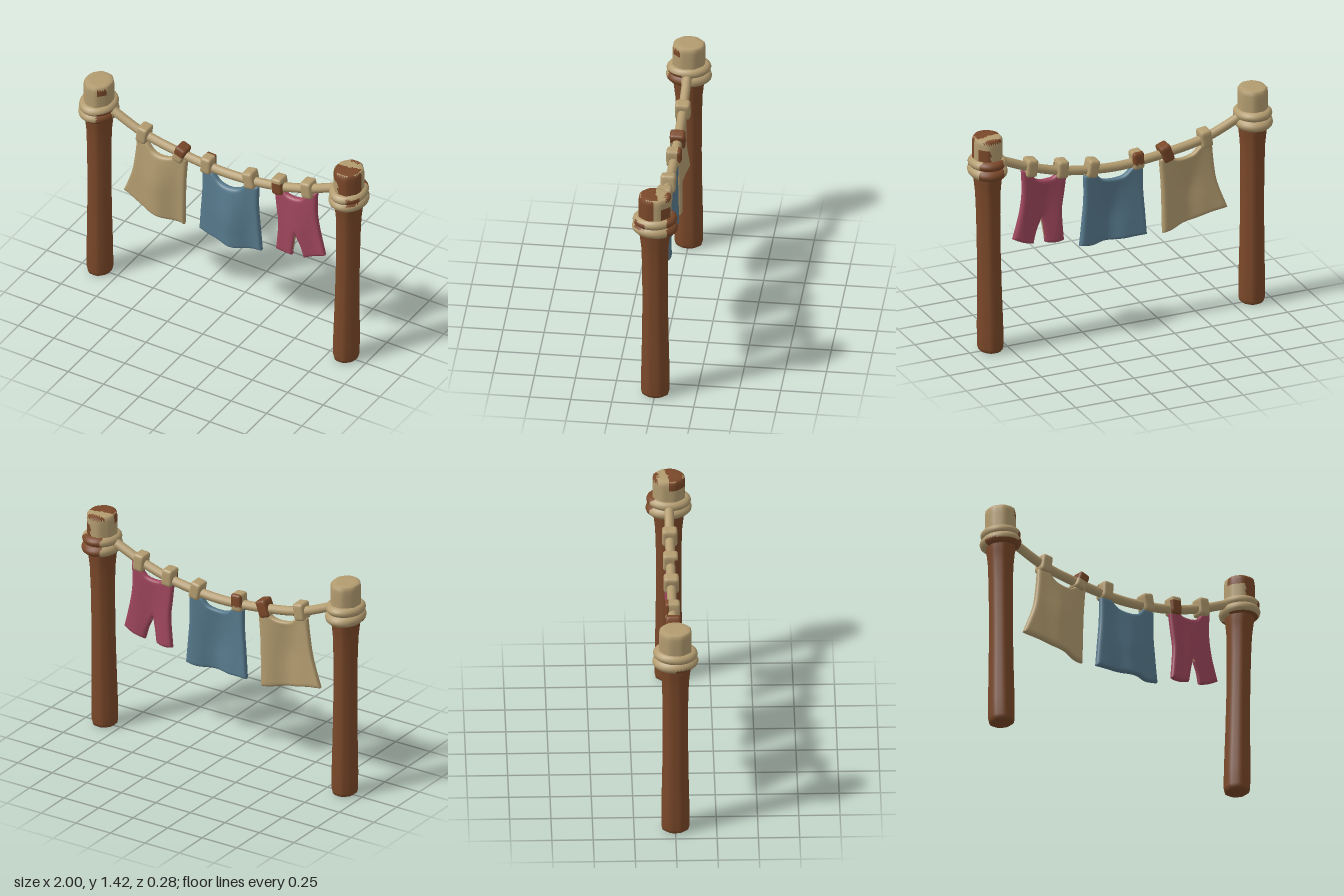
import * as THREE from 'three';
import { mergeGeometries, mergeVertices } from 'three/addons/utils/BufferGeometryUtils.js';

const mat = (name, color) => Object.assign(new THREE.MeshStandardMaterial({ color }), { name });
const V2 = (p) => new THREE.Vector2(p[0], p[1]);
const spline = (pts) => new THREE.SplineCurve(pts.map(V2));

// Weld vertices and give smooth normals
function smooth(geo) {
  geo.deleteAttribute('uv');
  geo.deleteAttribute('normal');
  const g = mergeVertices(geo, 1e-5);
  g.computeVertexNormals();
  return g;
}

// Move every vertex by a rule
function warp(geo, rule) {
  const p = geo.attributes.position, v = new THREE.Vector3();
  for (let i = 0; i < p.count; i++) {
    rule(v.fromBufferAttribute(p, i));
    p.setXYZ(i, v.x, v.y, v.z);
  }
  return geo;
}

// Split triangles into two material groups: group 1 where rule(x, y, z) holds
function paint(geo, rule) {
  const idx = geo.index.array, p = geo.attributes.position, lists = [[], []];
  for (let i = 0; i < idx.length; i += 3) {
    const t = [idx[i], idx[i + 1], idx[i + 2]];
    const mid = (f) => t.reduce((s, k) => s + p[f](k), 0) / 3;
    lists[rule(mid('getX'), mid('getY'), mid('getZ')) ? 1 : 0].push(...t);
  }
  geo.setIndex([...lists[0], ...lists[1]]);
  geo.clearGroups();
  geo.addGroup(0, lists[0].length, 0);
  geo.addGroup(lists[0].length, lists[1].length, 1);
  return geo;
}

// Softly eight-sided turned piece, a little deeper than wide
function turned(profile, zScale) {
  const geo = new THREE.LatheGeometry(spline(profile).points, 40);
  return smooth(warp(geo, (v) => {
    const a = Math.atan2(v.x, v.z), step = Math.PI / 4;
    const off = a - Math.round(a / step) * step;
    const k = 0.3 + 0.7 * Math.cos(Math.PI / 8) / Math.cos(off) + 0.03;
    v.x *= k;
    v.z *= k * zScale;
  }));
}

// Padded cloth patch between four border curves, thin at its open edges
const HALF = 0.022, ROUND = 0.028, N = 28;
const swell = (d) => HALF * Math.sqrt(1 - (1 - Math.min(1, Math.max(0, d) / ROUND)) ** 2);
function cloth({ top, bottom, left, right, depth, edge }) {
  const [T, B, L, R] = [top, bottom, left, right].map(spline);
  const [a, b, c, d] = [top[0], top.at(-1), bottom[0], bottom.at(-1)];
  const pos = [], idx = [];
  const ease = (s) => 0.5 - 0.5 * Math.cos(Math.PI * s);
  for (const side of [1, -1]) {
    const base = pos.length / 3;
    for (let j = 0; j <= N; j++) for (let i = 0; i <= N; i++) {
      const u = ease(i / N), v = ease(j / N);
      const t = T.getPoint(u), m = B.getPoint(u), l = L.getPoint(v), r = R.getPoint(v);
      const at = (k, n) => (1 - v) * t[k] + v * m[k] + (1 - u) * l[k] + u * r[k]
        - (1 - u) * ((1 - v) * a[n] + v * c[n]) - u * ((1 - v) * b[n] + v * d[n]);
      const x = at('x', 0), y = at('y', 1), w = r.x - l.x, h = t.y - m.y;
      const gap = edge(u, v, w, h);
      pos.push(x, y, depth(x, v) + side * swell(Math.min(gap, v * h, (1 - v) * h)));
      if (i < N && j < N) {
        const k = base + j * (N + 1) + i, n = k + N + 1;
        idx.push(...(side > 0 ? [k, n, n + 1, k, n + 1, k + 1] : [k, n + 1, n, k, k + 1, n + 1]));
      }
    }
  }
  const geo = new THREE.BufferGeometry();
  geo.setAttribute('position', new THREE.Float32BufferAttribute(pos, 3));
  geo.setIndex(idx);
  return geo;
}

export function createModel() {
  const wood = mat('brownWood', 0x7a4829), rope = mat('tanRope', 0xb39c70);
  const blue = mat('blueCloth', 0x577a8d), pink = mat('pinkCloth', 0xa0475d);
  const model = new THREE.Group();
  const add = (name, geo, material, parent = model) => {
    const mesh = new THREE.Mesh(geo, material);
    mesh.name = name;
    parent.add(mesh);
    return mesh;
  };

  // Posts with bound tops
  const shaft = [[0, 0], [0.062, 0], [0.073, 0.008], [0.078, 0.03], [0.078, 0.15], [0.073, 0.4],
    [0.07, 0.65], [0.071, 0.9], [0.075, 1.05], [0.082, 1.12], [0.088, 1.17], [0.088, 1.22], [0, 1.22]];
  const capShape = [[0, 1.2], [0.09, 1.2], [0.09, 1.24], [0.09, 1.28], [0.09, 1.32], [0.09, 1.36],
    [0.09, 1.39], [0.087, 1.41], [0.078, 1.42], [0.05, 1.42], [0.025, 1.42], [0, 1.42]];
  const patches = {
    // brown wear on the rope binding and the cap, in post space
    left: {
      cap: (x, y, z) => x > 0.04 && z > 0.05 && y > 1.35 && y < 1.4,
      ring: (x, y, z) => (z > 0.03 && x > 0.05 && y < 1.25) || (z > 0 && x < 0.05 && y < 1.19),
    },
    right: {
      cap: (x, y, z) => (y > 1.415 ? z > -0.01 - x * 0.2 && z < 0.08 && Math.abs(x) < 0.07
        : (z > 0 && (x > -0.02 || y > 1.37)) || (z < -0.05 && x > 0.02 && y < 1.36)) || (z < -0.07 && y > 1.4),
      ring: (x, y, z) => (z > 0.05 && x > 0.05 && y > 1.22 && y < 1.265) || (z < -0.08 && x > -0.06)
        || (z > 0.03 && y < 1.175),
    },
  };
  for (const [side, s, foot] of [['left', -1, -0.875], ['right', 1, 0.862]]) {
    const post = new THREE.Group();
    post.name = side === 'left' ? 'postAtMinusX' : 'postAtPlusX';
    post.position.x = s * 0.882;
    model.add(post);
    const lean = foot - s * 0.882;
    add('shaft', smooth(warp(turned(shaft, 1.12), (v) => { v.x += lean * (1 - v.y / 1.2); })), wood, post);
    add('cap', paint(turned(capShape, 1.12), patches[side].cap), [rope, wood], post);
    [[1.198, 0.082, 0.04, -0.03], [1.252, 0.084, 0.034, 0.04]].forEach(([y, R, r, tilt], i) => {
      const ring = new THREE.TorusGeometry(R, r, 14, 48).rotateX(Math.PI / 2).scale(0.98, 0.9, 1.15);
      ring.rotateX(tilt).translate(0, y, 0);
      add('ropeBinding' + (i + 1), paint(smooth(ring), patches[side].ring), [rope, wood], post);
    });
  }

  // Sagging line
  const line = new THREE.CatmullRomCurve3([[-0.86, 1.265], [-0.77, 1.222], [-0.56, 1.135], [-0.3, 1.085],
    [0, 1.057], [0.2, 1.068], [0.4, 1.1], [0.6, 1.16], [0.78, 1.235], [0.86, 1.265]]
    .map(([x, y]) => new THREE.Vector3(x, y, 0)));
  add('clothesLine', new THREE.TubeGeometry(line, 64, 0.029, 12), rope);

  // Pegs: x, y, tilt, worn area
  const none = () => false;
  const pegs = [
    [-0.562, 1.14, -0.15, none],
    [-0.3, 1.092, -0.35, (x, y, z) => y > 0.0 || z < -0.03],
    [-0.11, 1.082, -0.05, (x, y, z) => z < -0.025 && y > -0.02],
    [0.19, 1.082, 0.2, none],
    [0.392, 1.115, 0.08, (x, y, z) => z > 0.02 && y < 0.025],
    [0.598, 1.162, 0.1, none],
  ];
  for (const [x, y, tilt, worn] of pegs) {
    const size = [0.036, 0.056, 0.046], r = 0.016;
    const box = warp(new THREE.BoxGeometry(...size.map((s) => s * 2), 8, 8, 8), (v) => {
      const inner = new THREE.Vector3(...['x', 'y', 'z'].map((k, i) =>
        THREE.MathUtils.clamp(v[k], r - size[i], size[i] - r)));
      v.sub(inner).setLength(r).add(inner);
    });
    const peg = add('peg', paint(smooth(box), worn), [rope, wood]);
    peg.position.set(x, y, 0);
    peg.rotation.z = tilt;
  }

  // Hanging cloths with a forward fold down the middle
  const fold = (centre, drift, width, bulge) => (x, v) =>
    bulge * Math.exp(-(((x - centre - drift * v) / width) ** 2)) * (0.35 + 0.65 * Math.sin(Math.PI * Math.min(v * 0.8, 0.6)))
    - 0.004 + 0.006 * v * Math.sin((x - centre) * 32);
  const bothEdges = (u, v, w) => Math.min(u, 1 - u) * w;
  add('tanCloth', smooth(cloth({
    top: [[-0.608, 1.1], [-0.545, 1.1], [-0.49, 1.045], [-0.42, 1.027], [-0.355, 1.04], [-0.31, 1.075], [-0.258, 1.05]],
    bottom: [[-0.708, 0.66], [-0.61, 0.635], [-0.5, 0.6], [-0.4, 0.58], [-0.278, 0.562]],
    left: [[-0.608, 1.1], [-0.622, 0.96], [-0.645, 0.83], [-0.708, 0.66]],
    right: [[-0.258, 1.05], [-0.27, 0.9], [-0.275, 0.75], [-0.278, 0.562]],
    depth: fold(-0.46, -0.02, 0.1, 0.048), edge: bothEdges,
  })), rope);
  add('blueCloth', smooth(cloth({
    top: [[-0.147, 1.035], [-0.085, 1.04], [-0.03, 0.99], [0.045, 0.975], [0.12, 0.99], [0.17, 1.04], [0.245, 1.035]],
    bottom: [[-0.173, 0.578], [-0.05, 0.565], [0.05, 0.56], [0.16, 0.562], [0.27, 0.574]],
    left: [[-0.147, 1.035], [-0.15, 0.88], [-0.162, 0.73], [-0.173, 0.578]],
    right: [[0.245, 1.035], [0.243, 0.88], [0.255, 0.73], [0.27, 0.574]],
    depth: fold(0.05, 0.01, 0.11, 0.052), edge: bothEdges,
  })), blue);

  // Trousers: two halves joined down to the crotch
  const crotch = 0.6;
  const inner = (u, v, w, h) => (v < crotch ? Math.hypot(u * w, (crotch - v) * h) : u * w);
  const depth = fold(0.5, 0, 0.09, 0.022);
  const halves = [cloth({
    top: [[0.358, 1.085], [0.41, 1.09], [0.455, 1.065], [0.51, 1.06]],
    bottom: [[0.374, 0.637], [0.41, 0.63], [0.45, 0.63], [0.494, 0.638]],
    left: [[0.358, 1.085], [0.375, 0.95], [0.388, 0.83], [0.374, 0.637]],
    right: [[0.51, 1.06], [0.515, 0.975], [0.52, 0.89], [0.52, 0.802], [0.506, 0.72], [0.494, 0.638]],
    depth, edge: (u, v, w, h) => Math.min(u * w, inner(1 - u, v, w, h)),
  }), cloth({
    top: [[0.51, 1.06], [0.56, 1.075], [0.605, 1.125], [0.66, 1.15]],
    bottom: [[0.574, 0.643], [0.62, 0.66], [0.67, 0.68], [0.715, 0.702]],
    left: [[0.51, 1.06], [0.515, 0.975], [0.52, 0.89], [0.52, 0.802], [0.552, 0.725], [0.574, 0.643]],
    right: [[0.66, 1.15], [0.655, 1.0], [0.675, 0.86], [0.715, 0.702]],
    depth, edge: (u, v, w, h) => Math.min((1 - u) * w, inner(u, v, w, h)),
  })];
  // Tan lining along one inner leg
  const lining = (x, y) => y < 0.79 && y > 0.66 && x < 0.53 && x > 0.492 + (y - 0.638) * 0.16;
  add('trousers', paint(smooth(mergeGeometries(halves)), lining), [pink, rope]);

  return model;
}
